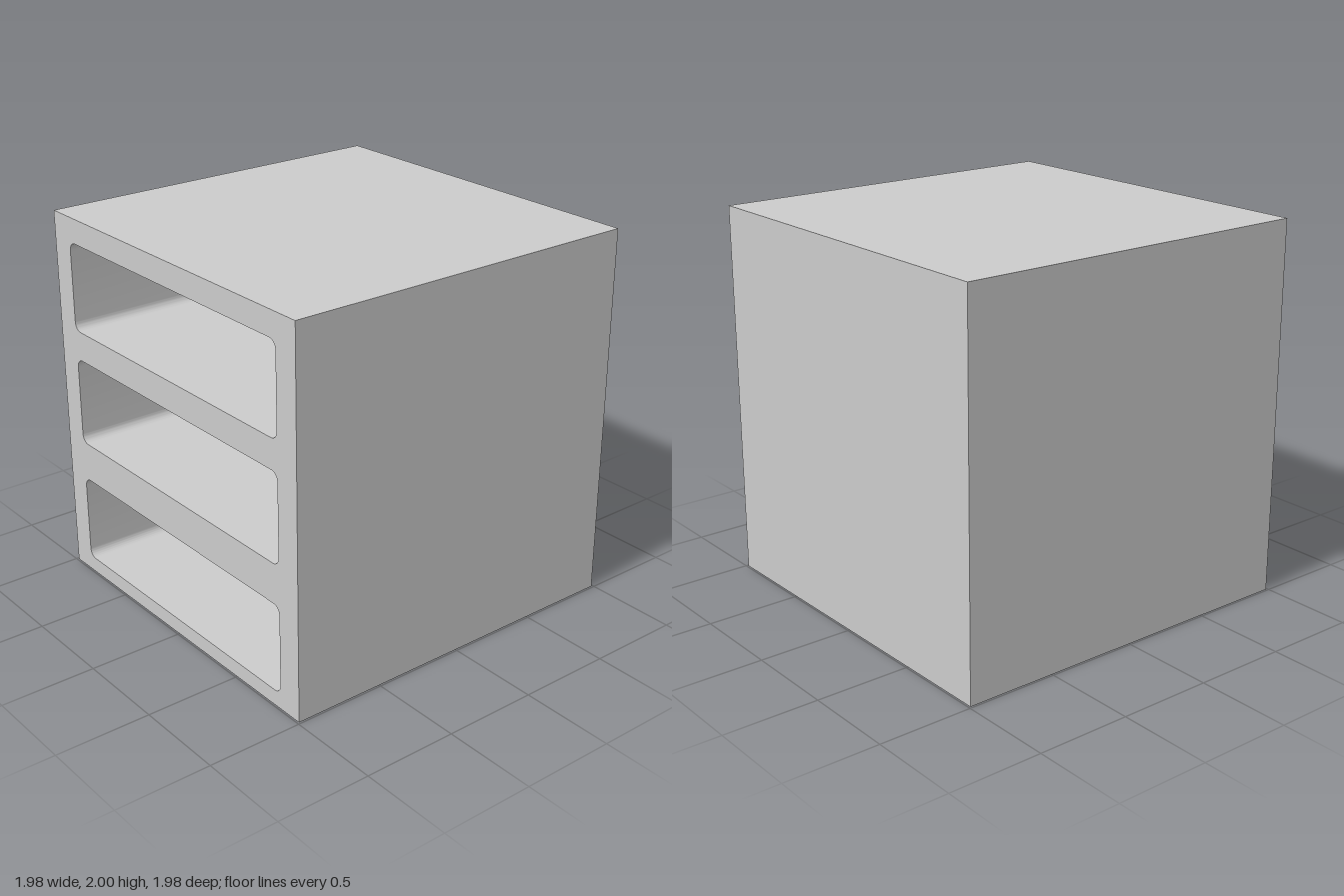
import * as THREE from 'three';
import { toCreasedNormals } from 'three/addons/utils/BufferGeometryUtils.js';

const WIDTH = 1.98, HEIGHT = 2, DEPTH = 1.98, BACK = 0.13;
const SLOT = { width: 1.7, height: 0.472, radius: 0.045, bottoms: [0.083, 0.767, 1.397] };

// Rounded rectangle centred on x = 0, standing on y
function roundedSlot(y) {
  const { width, height, radius: r } = SLOT;
  const x = width / 2, top = y + height;
  const path = new THREE.Path();
  path.moveTo(-x + r, y);
  path.lineTo(x - r, y);
  path.absarc(x - r, y + r, r, -Math.PI / 2, 0);
  path.lineTo(x, top - r);
  path.absarc(x - r, top - r, r, 0, Math.PI / 2);
  path.lineTo(-x + r, top);
  path.absarc(-x + r, top - r, r, Math.PI / 2, Math.PI);
  path.lineTo(-x, y + r);
  path.absarc(-x + r, y + r, r, Math.PI, Math.PI * 1.5);
  return path;
}

export function createModel() {
  const group = new THREE.Group();
  group.name = 'openShelfCabinet';
  const material = new THREE.MeshStandardMaterial({ color: 0xcccccc });
  const add = (name, geometry) => {
    const mesh = new THREE.Mesh(geometry, material);
    mesh.name = name;
    group.add(mesh);
    return mesh;
  };

  // Cabinet body with three open compartments
  const w = WIDTH / 2;
  const face = new THREE.Shape([
    new THREE.Vector2(-w, 0), new THREE.Vector2(w, 0),
    new THREE.Vector2(w, HEIGHT), new THREE.Vector2(-w, HEIGHT),
  ]);
  face.holes = SLOT.bottoms.map(roundedSlot);
  const body = new THREE.ExtrudeGeometry(face, {
    depth: DEPTH - BACK, bevelEnabled: false, curveSegments: 6,
  });
  add('cabinetBody', toCreasedNormals(body, 0.5)).position.z = -DEPTH / 2 + BACK;

  // Back panel closing the compartments
  add('backPanel', new THREE.BoxGeometry(WIDTH, HEIGHT, BACK))
    .position.set(0, HEIGHT / 2, -DEPTH / 2 + BACK / 2);

  return group;
}
